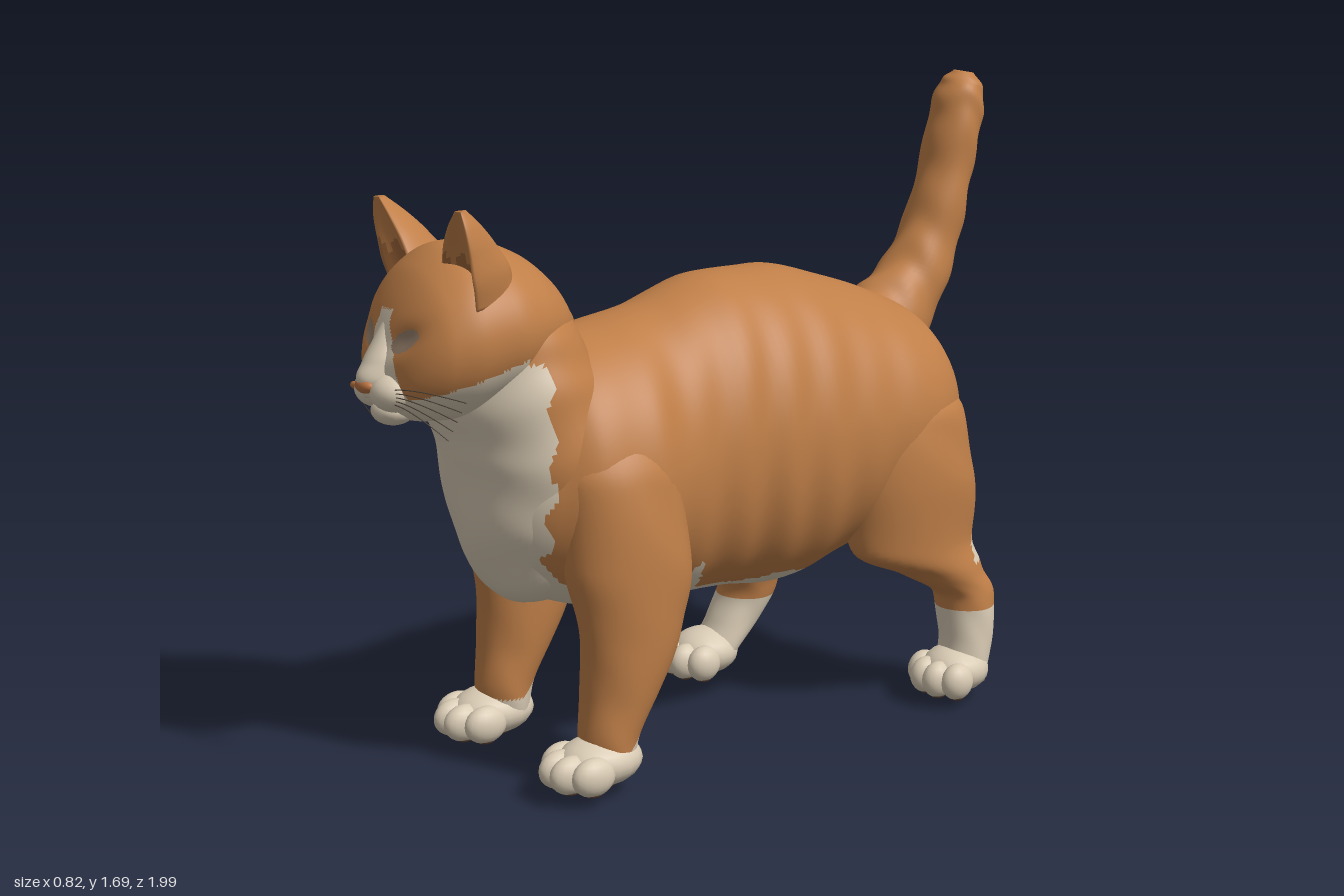
import * as THREE from 'three';

const mat = (name, hex) => {
  const m = new THREE.MeshStandardMaterial({ color: hex });
  m.name = name;
  return m;
};
const orange = mat('orange fur', 0xc07f48);
const cream = mat('cream fur', 0xd9cbb4);
const eyeGrey = mat('eye grey', 0x97806c);
const earBrown = mat('inner ear', 0xa0673a);
const nosePink = mat('nose', 0xb97242);
const padBrown = mat('paw pad', 0x5e4538);
const whiskerDark = mat('whisker', 0x51463c);
const UP = new THREE.Vector3(0, 1, 0), FRONT = new THREE.Vector3(0, 0, 1);

// Monotone cubic interpolation of ring values at parameter t (in ring units)
function ringAt(rings, t) {
  const i = Math.min(Math.floor(t), rings.length - 2), u = t - i;
  return rings[0].map((_, k) => {
    const d = (n) => rings[n + 1][k] - rings[n][k];
    const slope = (n) => {
      if (n === 0) return d(0);
      if (n === rings.length - 1) return d(n - 1);
      const p = d(n - 1), q = d(n);
      return p * q <= 0 ? 0 : (2 * p * q) / (p + q);
    };
    const a = rings[i][k], b = rings[i + 1][k], u2 = u * u, u3 = u2 * u;
    return a + (b - a) * (3 * u2 - 2 * u3) + slope(i) * (u3 - 2 * u2 + u) + slope(i + 1) * (u3 - u2);
  });
}

// Skin over elliptical rings [x, y, z, halfWidth, halfDepth]; paint(point, angle) picks a material index
function loft(name, rings, { seg = 40, sub = 10, v = null, mats = [orange], paint = () => 0, shape = null, ripple = 0, freq = 4 } = {}) {
  const rows = (rings.length - 1) * sub, pts = [], X = new THREE.Vector3(1, 0, 0);
  const centre = (t) => new THREE.Vector3().fromArray(ringAt(rings, t));
  for (let r = 0; r <= rows; r++) {
    const t = r / sub, [x, y, z, a, b] = ringAt(rings, t);
    const T = centre(Math.min(t + 0.05, rings.length - 1)).sub(centre(Math.max(t - 0.05, 0)));
    const V = v || T.setX(0).normalize().cross(X);
    for (let j = 0; j < seg; j++) {
      const th = (j / seg) * Math.PI * 2;
      const k = 1 + ripple * Math.sin(t * freq + 1.3 * Math.sin(2 * th) + Math.sin(3 * th + t));
      const p = new THREE.Vector3(x, y, z).addScaledVector(X, a * k * Math.cos(th)).addScaledVector(V, b * k * Math.sin(th));
      if (shape) shape(p, th, b);
      pts.push(p);
    }
  }
  const first = pts.length, last = first + 1;
  for (const s of [0, rows * seg]) {
    const c = new THREE.Vector3();
    for (let j = 0; j < seg; j++) c.addScaledVector(pts[s + j], 1 / seg);
    pts.push(c);
  }
  const faces = mats.map(() => []);
  const tri = (a, b, c, th) => {
    const mid = pts[a].clone().add(pts[b]).add(pts[c]).divideScalar(3);
    faces[paint(mid, th)].push(a, b, c);
  };
  for (let j = 0; j < seg; j++) {
    const n = (j + 1) % seg, th = ((j + 0.5) / seg) * Math.PI * 2;
    tri(first, n, j, th);
    for (let r = 0; r < rows; r++) {
      const a = r * seg + j, b = r * seg + n;
      tri(a, b, b + seg, th);
      tri(a, b + seg, a + seg, th);
    }
    tri(last, rows * seg + j, rows * seg + n, th);
  }
  const g = new THREE.BufferGeometry().setFromPoints(pts);
  g.setIndex(faces.flat());
  let start = 0;
  faces.forEach((f, i) => { g.addGroup(start, f.length, i); start += f.length; });
  g.computeVertexNormals();
  const mesh = new THREE.Mesh(g, mats);
  mesh.name = name;
  return mesh;
}

function ball(name, material, pos, radii) {
  const m = new THREE.Mesh(new THREE.SphereGeometry(1, 18, 12), material);
  m.position.set(...pos);
  m.scale.set(...radii);
  m.name = name;
  return m;
}

// Paw with four toes and dark pads below; z is the middle of the paw, len scales its length
function paw(name, x, y, z, len = 1) {
  const g = new THREE.Group();
  g.name = name;
  g.position.set(x, y, z);
  g.scale.z = len;
  g.add(ball('foot', cream, [0, 0.066, -0.02], [0.094, 0.066, 0.118]));
  for (const [dx, dz] of [[-0.072, 0.045], [-0.026, 0.082], [0.026, 0.082], [0.072, 0.045]]) {
    g.add(ball('toe', cream, [dx, 0.054, dz], [0.037, 0.051, 0.062]));
    g.add(ball('toePad', padBrown, [dx, 0.012, dz], [0.02, 0.012, 0.028]));
  }
  g.add(ball('heelPad', padBrown, [0, 0.012, -0.025], [0.05, 0.016, 0.045]));
  return g;
}

function buildHead() {
  const pivot = new THREE.Group(), head = new THREE.Group();
  pivot.name = 'head';
  pivot.position.set(-0.012, 1.15, 0.65);
  pivot.rotation.set(0, -0.11, 0.09); // slightly turned and tilted
  head.position.set(0, -1.15, -0.65);
  pivot.add(head);

  // Skull: z, bottom, top, half width
  const skull = [[0.43, 1.12, 1.22, 0.09], [0.49, 1.07, 1.305, 0.175], [0.57, 1.02, 1.37, 0.235], [0.66, 0.985, 1.405, 0.268],
    [0.75, 0.965, 1.405, 0.272], [0.83, 0.965, 1.36, 0.25], [0.89, 0.98, 1.275, 0.195], [0.92, 1.0, 1.2, 0.135], [0.937, 1.03, 1.14, 0.06]]
    .map(([z, lo, hi, w]) => [0, (lo + hi) / 2, z, w, (hi - lo) / 2]);
  const eyeDist = (p) => {
    const x = Math.abs(p.x) - 0.108;
    return (x / 0.05) ** 2 + ((p.y - 1.185 - 0.3 * x) / 0.027) ** 2;
  };
  head.add(loft('skull', skull, {
    seg: 128, v: UP, mats: [orange, cream, eyeGrey],
    shape: (p) => { if (p.z > 0.8) p.z -= 0.014 * Math.exp(-eyeDist(p) * 0.6); },
    paint: (p) => {
      if (p.z > 0.82 && eyeDist(p) < 1) return 2;
      if (p.z > 0.63 && p.y < 1.065 + (0.83 - p.z) * 0.3) return 1;
      const blaze = 0.035 + Math.max(0, 1.23 - p.y) * 0.5;
      return p.z > 0.84 && p.y < 1.255 && Math.abs(p.x) < blaze ? 1 : 0;
    },
  }));

  // Nose bridge, muzzle, chin and nose
  head.add(loft('noseBridge', [[0, 1.25, 0.885, 0.015, 0.01], [0, 1.18, 0.905, 0.04, 0.034], [0, 1.13, 0.92, 0.05, 0.05],
    [0, 1.09, 0.925, 0.05, 0.066], [0, 1.04, 0.93, 0.03, 0.045]], { v: FRONT, seg: 32, mats: [cream] }));
  for (const s of [-1, 1]) head.add(ball('muzzleCheek', cream, [s * 0.05, 1.053, 0.91], [0.072, 0.051, 0.066]));
  head.add(ball('chin', cream, [0, 1.0, 0.9], [0.065, 0.038, 0.055]));
  head.add(ball('nose', nosePink, [0, 1.07, 0.971], [0.042, 0.02, 0.022]));
  head.add(ball('muzzleSpot', nosePink, [-0.075, 1.06, 0.966], [0.028, 0.01, 0.009]));

  for (const s of [-1, 1]) {
    // Cupped ear opening forward
    head.add(loft('ear', [[s * 0.17, 1.26, 0.73, 0.085, 0.05], [s * 0.185, 1.33, 0.745, 0.095, 0.05], [s * 0.205, 1.4, 0.765, 0.083, 0.038],
      [s * 0.23, 1.46, 0.785, 0.055, 0.023], [s * 0.25, 1.505, 0.8, 0.018, 0.008]], {
      seg: 32, mats: [orange, earBrown],
      shape: (p, th, b) => { p.z -= 1.7 * b * Math.sin(th) ** 2 - b * 0.7; },
      paint: (p, th) => (Math.sin(th) < -0.35 && p.y < 1.38 + 0.02 * Math.sin(th * 9) ? 1 : 0),
    }));
    // Whiskers
    for (let i = 0; i < 5; i++) {
      const curve = new THREE.QuadraticBezierCurve3(new THREE.Vector3(s * 0.08, 1.03 + i * 0.008, 0.94),
        new THREE.Vector3(s * 0.18, 1.04 + i * 0.012, 0.94), new THREE.Vector3(s * (0.24 + i * 0.012), 0.95 + i * 0.024, 0.86 - i * 0.008));
      const w = new THREE.Mesh(new THREE.TubeGeometry(curve, 10, 0.0014, 5), whiskerDark);
      w.name = 'whisker';
      head.add(w);
    }
  }
  return pivot;
}

export function createModel() {
  const cat = new THREE.Group();
  cat.name = 'cat';
  const fur = [orange, cream];
  const bib = (p) => p.z > 0.62 + 0.012 * Math.sin(p.y * 45) && p.y < 1.13;
  const brisket = (p) => p.z > 0.3 && p.y < 0.64 && Math.abs(p.x - 0.02) < 0.19;

  // Torso: z, bottom, top, centre x, half width
  const torso = [[-0.775, 0.74, 0.86, 0.01, 0.05], [-0.755, 0.66, 0.95, 0.01, 0.16], [-0.68, 0.58, 1.065, 0, 0.265], [-0.55, 0.5, 1.135, -0.01, 0.33],
    [-0.4, 0.42, 1.19, -0.02, 0.348], [-0.2, 0.37, 1.24, 0, 0.335], [0, 0.395, 1.245, 0.02, 0.31], [0.2, 0.4, 1.19, 0.03, 0.3],
    [0.35, 0.41, 1.165, 0.035, 0.33], [0.5, 0.45, 1.14, 0.03, 0.32], [0.6, 0.505, 1.06, 0.02, 0.265], [0.67, 0.58, 0.97, 0.02, 0.18], [0.695, 0.68, 0.88, 0.02, 0.08]]
    .map(([z, lo, hi, x, w]) => [x, (lo + hi) / 2, z, w, (hi - lo) / 2]);
  cat.add(loft('torso', torso, {
    seg: 112, v: UP, mats: fur,
    // Soft folds of skin along the flanks
    shape: (p) => {
      const fade = Math.max(0, 1 - Math.abs(p.z + 0.05) / 0.6);
      p.x *= 1 + 0.022 * fade * Math.sin(p.z * 44 + 1.6 * Math.sin(p.y * 6));
    },
    paint: (p) => {
      const spot = p.x > 0 ? 0.13 * Math.exp(-(((p.z - 0.16) / 0.03) ** 2)) : 0;
      const belly = p.z > -0.34 && p.y < 0.432 + spot + 0.008 * Math.sin(p.z * 30);
      return bib(p) || brisket(p) || belly ? 1 : 0;
    },
  }));

  // Chest and neck in one sweep up to the skull
  cat.add(loft('neck', [[0.02, 0.52, 0.43, 0.12, 0.15], [0.02, 0.6, 0.47, 0.205, 0.215], [0.02, 0.73, 0.505, 0.26, 0.23], [0.015, 0.9, 0.54, 0.285, 0.215],
    [-0.002, 1.03, 0.58, 0.28, 0.21], [-0.015, 1.14, 0.612, 0.262, 0.188], [-0.025, 1.24, 0.655, 0.22, 0.165], [-0.03, 1.31, 0.68, 0.15, 0.12]], {
    seg: 96, mats: fur, ripple: 0.01, freq: 5, paint: (p) => (bib(p) || brisket(p) ? 1 : 0),
  }));
  cat.add(buildHead());

  cat.add(loft('tail', [[-0.03, 0.96, -0.56, 0.125, 0.13], [-0.04, 1.03, -0.68, 0.11, 0.12], [-0.05, 1.13, -0.775, 0.097, 0.097],
    [-0.055, 1.26, -0.842, 0.088, 0.08], [-0.055, 1.42, -0.887, 0.083, 0.07], [-0.055, 1.57, -0.922, 0.08, 0.07],
    [-0.055, 1.65, -0.94, 0.065, 0.055], [-0.055, 1.686, -0.947, 0.03, 0.027]], { ripple: 0.035, freq: 6 }));

  // Front legs
  for (const [side, cx, lift] of [['left', 0.285, 0.022], ['right', -0.222, 0.004]]) {
    const s = Math.sign(cx);
    const rings = [[cx - s * 0.09, 0.99, 0.43, 0.08, 0.09], [cx - s * 0.04, 0.82, 0.42, 0.135, 0.175], [cx - s * 0.012, 0.6, 0.4, 0.127, 0.175],
      [cx, 0.43, 0.4, 0.113, 0.145], [cx, 0.26, 0.435, 0.097, 0.105], [cx, 0.13, 0.475, 0.084, 0.075], [cx, 0.05, 0.48, 0.075, 0.065]];
    cat.add(loft(side + 'FrontLeg', rings, {
      v: FRONT, mats: fur, ripple: 0.018, paint: (p) => (p.y < 0.115 + Math.max(0, 0.46 - p.z) * 0.8 ? 1 : 0),
    }));
    cat.add(paw(side + 'FrontPaw', cx + s * 0.008, lift, 0.525));
  }

  // Hind legs: the left one stands back, the right one steps forward
  cat.add(loft('leftHindLeg', [[0.12, 0.96, -0.5, 0.1, 0.13], [0.18, 0.82, -0.53, 0.145, 0.21], [0.2, 0.65, -0.555, 0.14, 0.215], [0.21, 0.46, -0.575, 0.118, 0.195],
    [0.225, 0.37, -0.665, 0.1, 0.125], [0.24, 0.29, -0.738, 0.085, 0.084], [0.25, 0.18, -0.742, 0.08, 0.074], [0.255, 0.05, -0.72, 0.075, 0.067]], {
    v: FRONT, mats: fur, ripple: 0.018,
    paint: (p) => (p.y < 0.26 || (p.y > 0.39 && p.y < 0.455 && p.z < -0.725) ? 1 : 0),
  }));
  cat.add(paw('leftHindPaw', 0.26, 0.018, -0.682, 0.79));
  cat.add(loft('rightHindLeg', [[-0.16, 0.96, -0.45, 0.1, 0.13], [-0.22, 0.8, -0.45, 0.14, 0.22], [-0.24, 0.6, -0.43, 0.135, 0.215], [-0.25, 0.45, -0.385, 0.115, 0.165],
    [-0.265, 0.34, -0.375, 0.098, 0.12], [-0.285, 0.25, -0.382, 0.085, 0.083], [-0.3, 0.15, -0.34, 0.08, 0.075], [-0.305, 0.05, -0.265, 0.075, 0.06]], {
    v: FRONT, mats: fur, ripple: 0.018, paint: (p) => (p.y < 0.22 ? 1 : 0),
  }));
  cat.add(paw('rightHindPaw', -0.305, 0, -0.23, 0.82));

  return cat;
}
